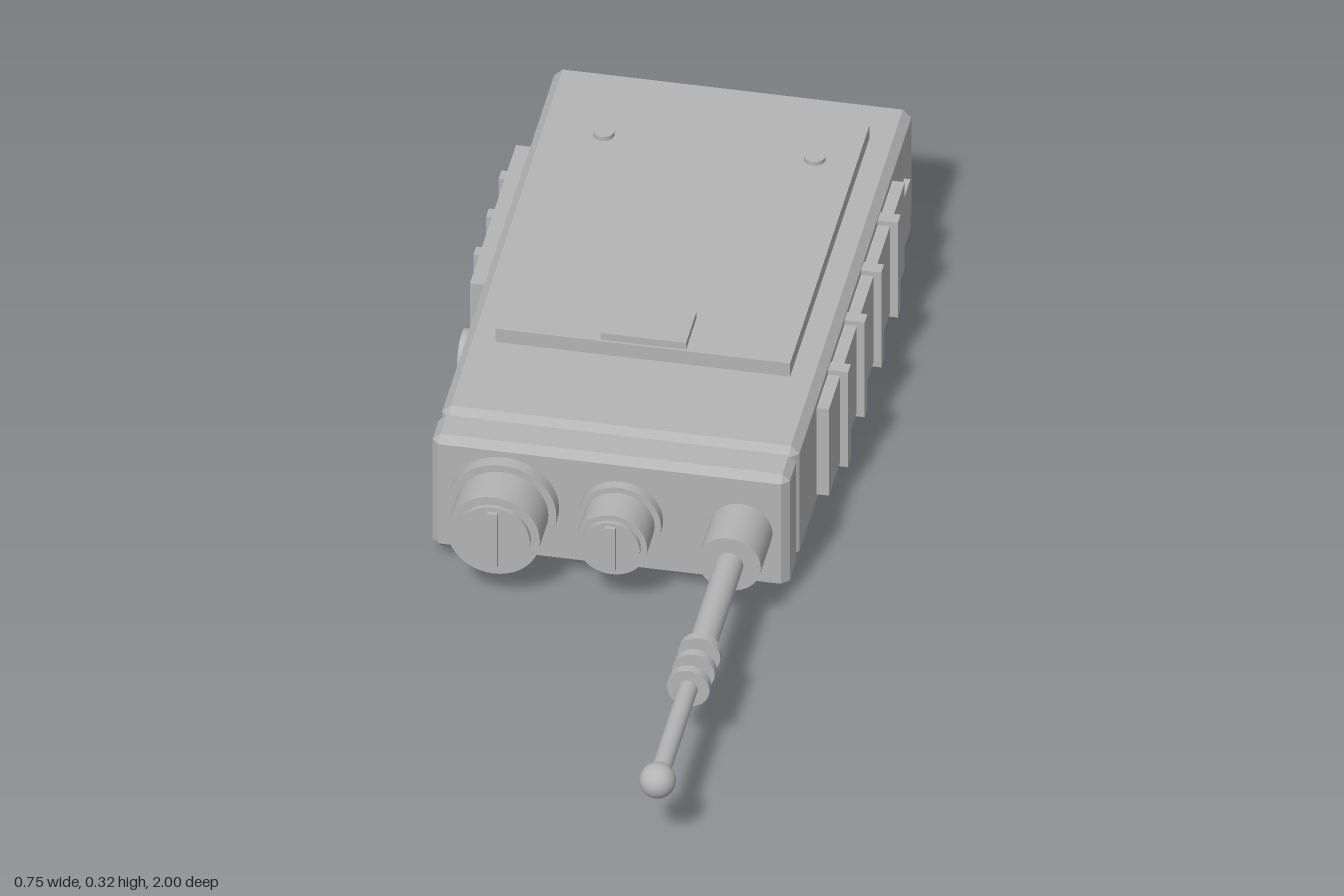
import * as THREE from 'three';
import { ConvexGeometry } from 'three/addons/geometries/ConvexGeometry.js';

export function createModel() {
  const model = new THREE.Group();
  model.name = 'handheldRadio';
  const grey = new THREE.MeshStandardMaterial({ color: 0xb4b4b4 });
  grey.name = 'plain grey';

  const add = (name, geometry) => {
    const mesh = new THREE.Mesh(geometry, grey);
    mesh.name = name;
    model.add(mesh);
    return mesh;
  };
  // box given by its limits on each axis
  const box = (name, x0, x1, y0, y1, z0, z1) =>
    add(name, new THREE.BoxGeometry(x1 - x0, y1 - y0, z1 - z0)
      .translate((x0 + x1) / 2, (y0 + y1) / 2, (z0 + z1) / 2));
  // box with every edge cut at 45 degrees
  const chamferBox = (name, x0, x1, y0, y1, z0, z1, c) => {
    const h = [(x1 - x0) / 2, (y1 - y0) / 2, (z1 - z0) / 2];
    const points = [];
    for (const sx of [-1, 1]) for (const sy of [-1, 1]) for (const sz of [-1, 1])
      for (let full = 0; full < 3; full++) {
        const [x, y, z] = h.map((v, i) => (i === full ? v : v - c));
        points.push(new THREE.Vector3(sx * x, sy * y, sz * z));
      }
    add(name, new ConvexGeometry(points)
      .translate((x0 + x1) / 2, (y0 + y1) / 2, (z0 + z1) / 2));
  };
  // cylinder along z, from z0 to z1
  const rod = (name, x, y, r, z0, z1) =>
    add(name, new THREE.CylinderGeometry(r, r, z1 - z0, 40)
      .rotateX(Math.PI / 2).translate(x, y, (z0 + z1) / 2));
  // upright disc, from y0 to y1
  const disc = (name, x, z, r, y0, y1) =>
    add(name, new THREE.CylinderGeometry(r, r, y1 - y0, 24).translate(x, (y0 + y1) / 2, z));

  // case and control head, with a groove between
  chamferBox('body', -0.335, 0.335, 0.025, 0.28, -1, 0.09, 0.016);
  chamferBox('controlHead', -0.335, 0.335, 0.025, 0.28, 0.09, 0.177, 0.014);

  // battery cover with latch and screws
  box('batteryCover', -0.276, 0.276, 0.27, 0.31, -0.885, -0.135);
  box('coverLatch', -0.08, 0.08, 0.305, 0.325, -0.237, -0.14);
  for (const x of [-0.198, 0.198]) disc('coverScrew', x, -0.762, 0.02, 0.305, 0.319);

  // ribbed grip on the left side
  box('leftGrip', 0.325, 0.358, 0.052, 0.25, -0.805, -0.09);
  for (let i = 0; i < 4; i++) {
    const z = -0.208 - i * 0.157;
    box('leftGripRib', 0.325, 0.373, 0.043, 0.26, z - 0.013, z + 0.013);
  }
  box('sideCatch', 0.325, 0.347, 0.06, 0.175, -0.915, -0.857);

  // ribbed grip and round button on the right side
  box('rightGrip', -0.363, -0.325, 0.043, 0.26, -0.765, -0.33);
  for (let i = 0; i < 3; i++) {
    const z = -0.43 - i * 0.12;
    box('rightGripRib', -0.374, -0.325, 0.043, 0.26, z - 0.013, z + 0.013);
  }
  add('sideButton', new THREE.CylinderGeometry(0.047, 0.047, 0.03, 32)
    .rotateZ(Math.PI / 2).translate(-0.339, 0.19, -0.208));
  box('sideButtonRidge', -0.359, -0.35, 0.168, 0.214, -0.214, -0.202);

  // knobs: collar, grip, raised cap and pointer ridge
  const knob = (x, y, radii, ends, ridge) => {
    const names = ['knobCollar', 'knobGrip', 'knobCap'];
    radii.forEach((r, i) => rod(names[i], x, y, r, 0.17, ends[i]));
    box('knobPointer', x - 0.01, x + 0.01, y - ridge, y + ridge, ends[2] - 0.01, ends[2] + 0.008);
  };
  knob(-0.197, 0.152, [0.102, 0.087, 0.07], [0.203, 0.283, 0.292], 0.06);
  knob(0.021, 0.151, [0.079, 0.067, 0.055], [0.197, 0.268, 0.276], 0.048);

  // telescopic aerial
  const ax = 0.246, ay = 0.152;
  rod('aerialBase', ax, ay, 0.059, 0.17, 0.286);
  rod('aerialLowerRod', ax, ay, 0.026, 0.28, 0.56);
  for (const z of [0.565, 0.617, 0.668]) rod('aerialRing', ax, ay, 0.04, z - 0.009, z + 0.009);
  rod('aerialUpperRod', ax, ay, 0.018, 0.67, 0.945);
  add('aerialTip', new THREE.SphereGeometry(0.034, 32, 20).translate(ax, ay, 0.965));

  // face underneath: corner screws
  for (const x of [-0.277, 0.277]) for (const z of [-0.9, 0.05])
    disc('faceScrew', x, z, 0.02, 0.013, 0.03);
  // speaker slats and badge plate
  for (let i = 0; i < 6; i++) {
    const z = -0.285 - i * 0.0785;
    box('speakerSlat', -0.227, 0.227, 0.009, 0.03, z - 0.021, z + 0.021);
  }
  box('blankPlate', -0.12, 0.12, 0.001, 0.03, -0.855, -0.715);

  // display frame with blank segments
  for (const s of [-1, 1]) {
    box('displayFrameSide', s * 0.195 - 0.008, s * 0.195 + 0.008, 0.013, 0.03, -0.12, 0.075);
    const z = -0.0225 + s * 0.09;
    box('displayFrameEnd', -0.203, 0.203, 0.013, 0.03, z - 0.008, z + 0.008);
  }
  for (const x of [-0.08, 0, 0.08])
    box('displaySegment', x - 0.022, x + 0.022, 0.018, 0.03, -0.05, 0.0);
  // face buttons
  for (const [x, z, r] of [[0.22, -0.16, 0.02], [-0.02, -0.175, 0.034], [-0.115, -0.175, 0.034]])
    disc('faceButton', x, z, r, 0.011, 0.03);
  box('faceButtonBar', 0.05, 0.17, 0.013, 0.03, -0.18, -0.16);

  return model;
}
